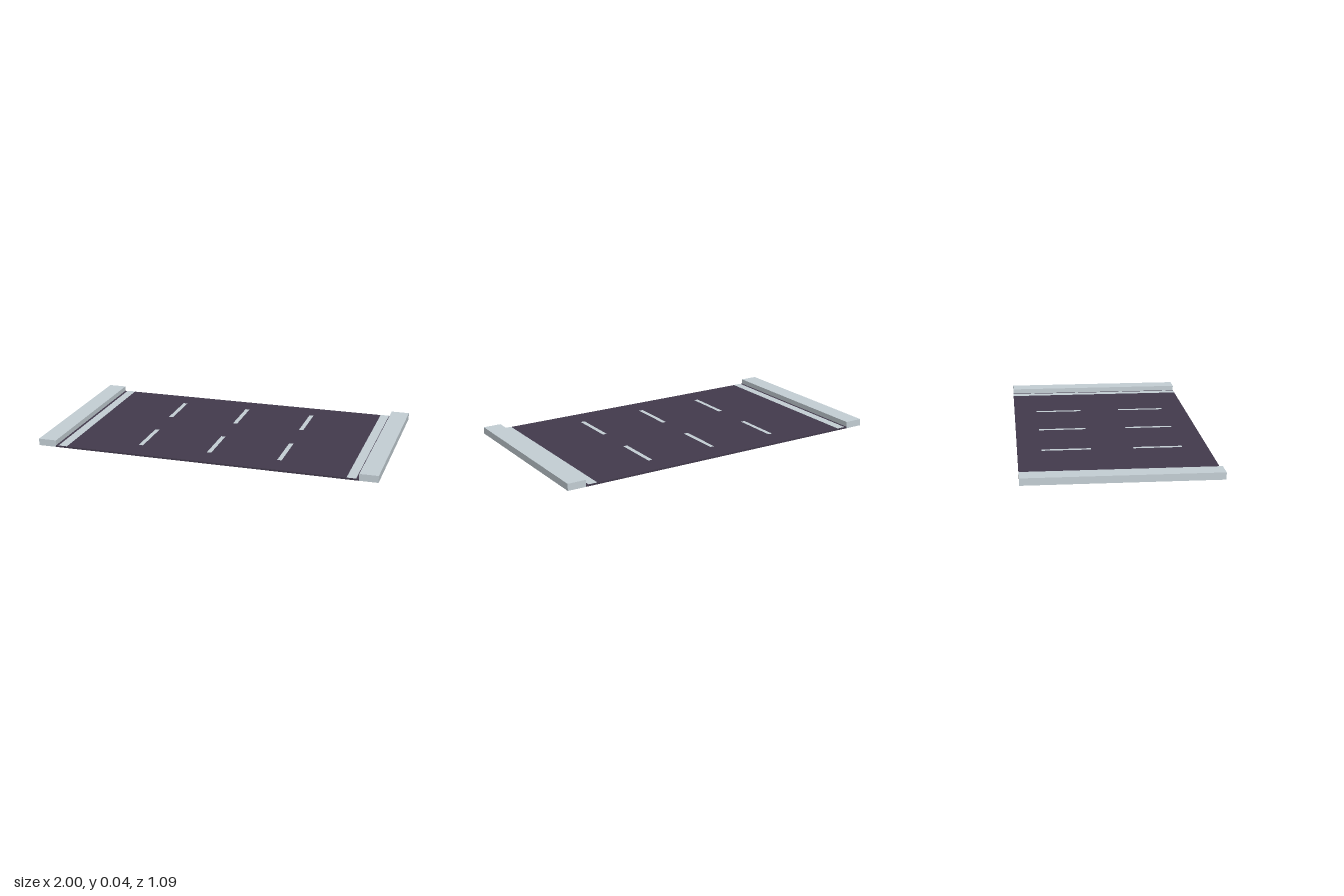
import * as THREE from 'three';

const DEPTH = 1.085;
const CURB_W = 0.107;
const CURB_H = 0.04;
const ROAD_H = 0.01;

export function createModel() {
  const group = new THREE.Group();
  const asphalt = new THREE.MeshStandardMaterial({ color: 0x433b4d });
  const concrete = new THREE.MeshStandardMaterial({ color: 0xc5d0d6 });
  const paint = new THREE.MeshStandardMaterial({ color: 0xc5d0d6 });

  function add(name, geometry, material, x, y, z) {
    const mesh = new THREE.Mesh(geometry, material);
    mesh.name = name;
    mesh.position.set(x, y, z);
    group.add(mesh);
    return mesh;
  }

  // Painted marking lying just above the road
  function marking(name, width, length, x, z) {
    const geometry = new THREE.PlaneGeometry(width, length).rotateX(-Math.PI / 2);
    add(name, geometry, paint, x, ROAD_H + 0.001, z);
  }

  // Thin road slab between the curbs
  const roadWidth = 2 - 2 * CURB_W;
  add('roadSlab', new THREE.BoxGeometry(roadWidth, ROAD_H, DEPTH), asphalt, 0, ROAD_H / 2, 0);

  // Raised sidewalk and solid edge line on each side
  for (const [side, s] of [['left', 1], ['right', -1]]) {
    add(side + 'Sidewalk', new THREE.BoxGeometry(CURB_W, CURB_H, DEPTH), concrete,
      s * (1 - CURB_W / 2), CURB_H / 2, 0);
    marking(side + 'EdgeLine', 0.053, DEPTH, s * 0.851, 0);
  }

  // Dashed lane dividers
  for (const x of [-0.421, -0.004, 0.412]) {
    for (const z of [-0.264, 0.258]) marking('laneDash', 0.026, 0.28, x, z);
  }

  return group;
}
